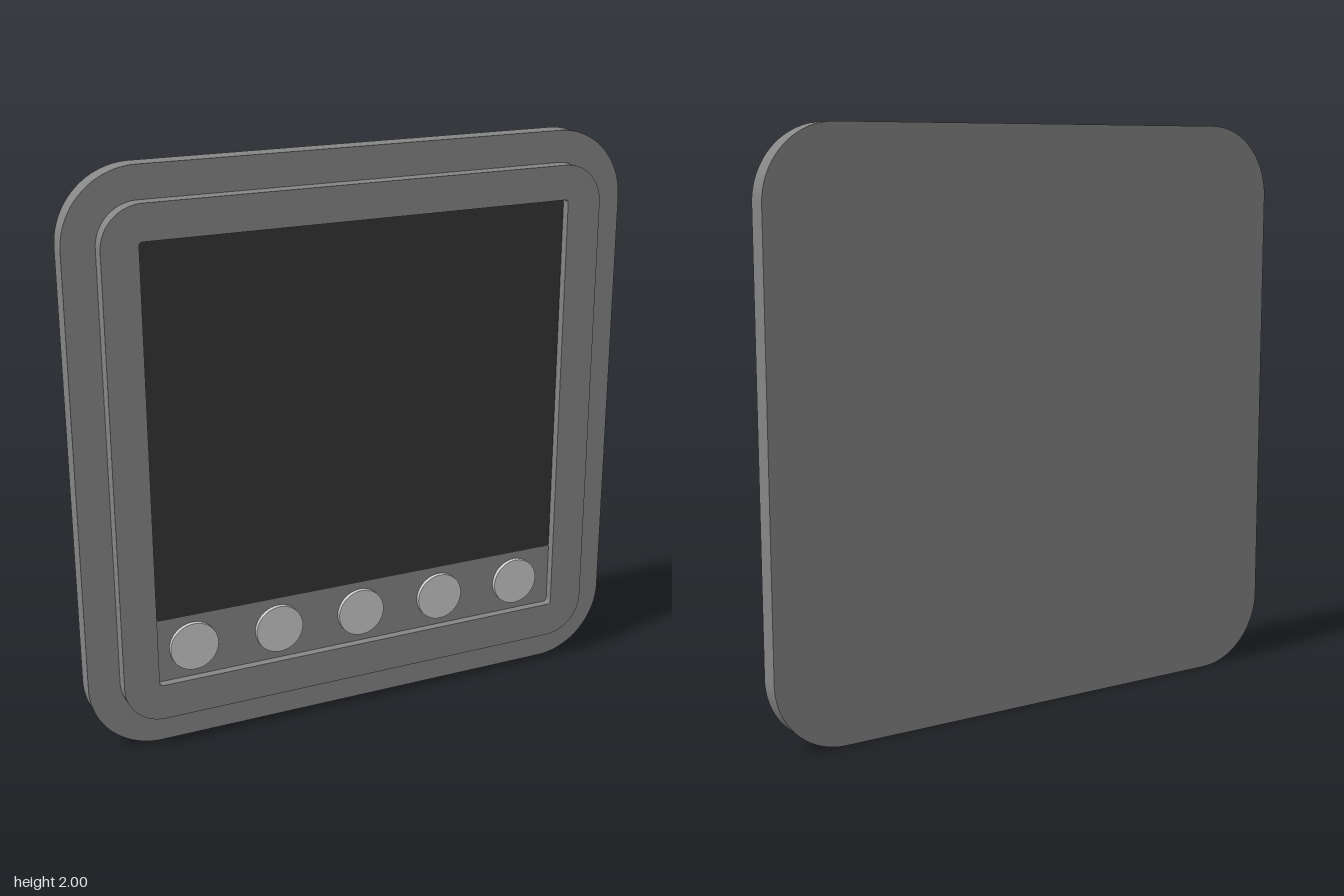
import * as THREE from 'three';

// Rounded rectangle outline, given its edges and corner radius
function roundedRect(Type, x0, x1, y0, y1, r) {
  const s = new Type();
  s.moveTo(x0 + r, y0);
  s.lineTo(x1 - r, y0);
  s.absarc(x1 - r, y0 + r, r, -Math.PI / 2, 0);
  s.lineTo(x1, y1 - r);
  s.absarc(x1 - r, y1 - r, r, 0, Math.PI / 2);
  s.lineTo(x0 + r, y1);
  s.absarc(x0 + r, y1 - r, r, Math.PI / 2, Math.PI);
  s.lineTo(x0, y0 + r);
  s.absarc(x0 + r, y0 + r, r, Math.PI, Math.PI * 1.5);
  return s;
}

export function createModel() {
  const model = new THREE.Group();
  const bodyMat = new THREE.MeshStandardMaterial({ color: 0x868686 });
  const screenMat = new THREE.MeshStandardMaterial({ color: 0x343434 });
  const buttonMat = new THREE.MeshStandardMaterial({ color: 0xcccccc });

  function slab(name, shape, z0, z1, material) {
    const geo = new THREE.ExtrudeGeometry(shape, { depth: z1 - z0, bevelEnabled: false, curveSegments: 16 });
    geo.translate(0, 0, z0);
    const mesh = new THREE.Mesh(geo, material);
    mesh.name = name;
    model.add(mesh);
  }

  // Wide back plate
  slab('backPlate', roundedRect(THREE.Shape, -1, 1, 0, 2, 0.25), -0.0625, 0.01, bodyMat);

  // Raised frame around the recessed opening
  const frame = roundedRect(THREE.Shape, -0.89, 0.89, 0.11, 1.89, 0.14);
  frame.holes.push(roundedRect(THREE.Path, -0.767, 0.763, 0.237, 1.77, 0.012));
  slab('frame', frame, 0.01, 0.0625, bodyMat);

  // Control strip and screen at the bottom of the recess
  slab('controlPanel', roundedRect(THREE.Shape, -0.767, 0.763, 0.237, 0.465, 0.005), 0.01, 0.033, bodyMat);
  slab('screen', roundedRect(THREE.Shape, -0.765, 0.761, 0.465, 1.768, 0.012), 0.01, 0.035, screenMat);

  // Row of round buttons
  const buttonGeo = new THREE.CylinderGeometry(0.086, 0.086, 0.02, 40).rotateX(Math.PI / 2);
  for (let i = 0; i < 5; i++) {
    const button = new THREE.Mesh(buttonGeo, buttonMat);
    button.name = `button${i + 1}`;
    button.position.set(-0.633 + i * 0.312, 0.352, 0.038);
    model.add(button);
  }
  return model;
}
